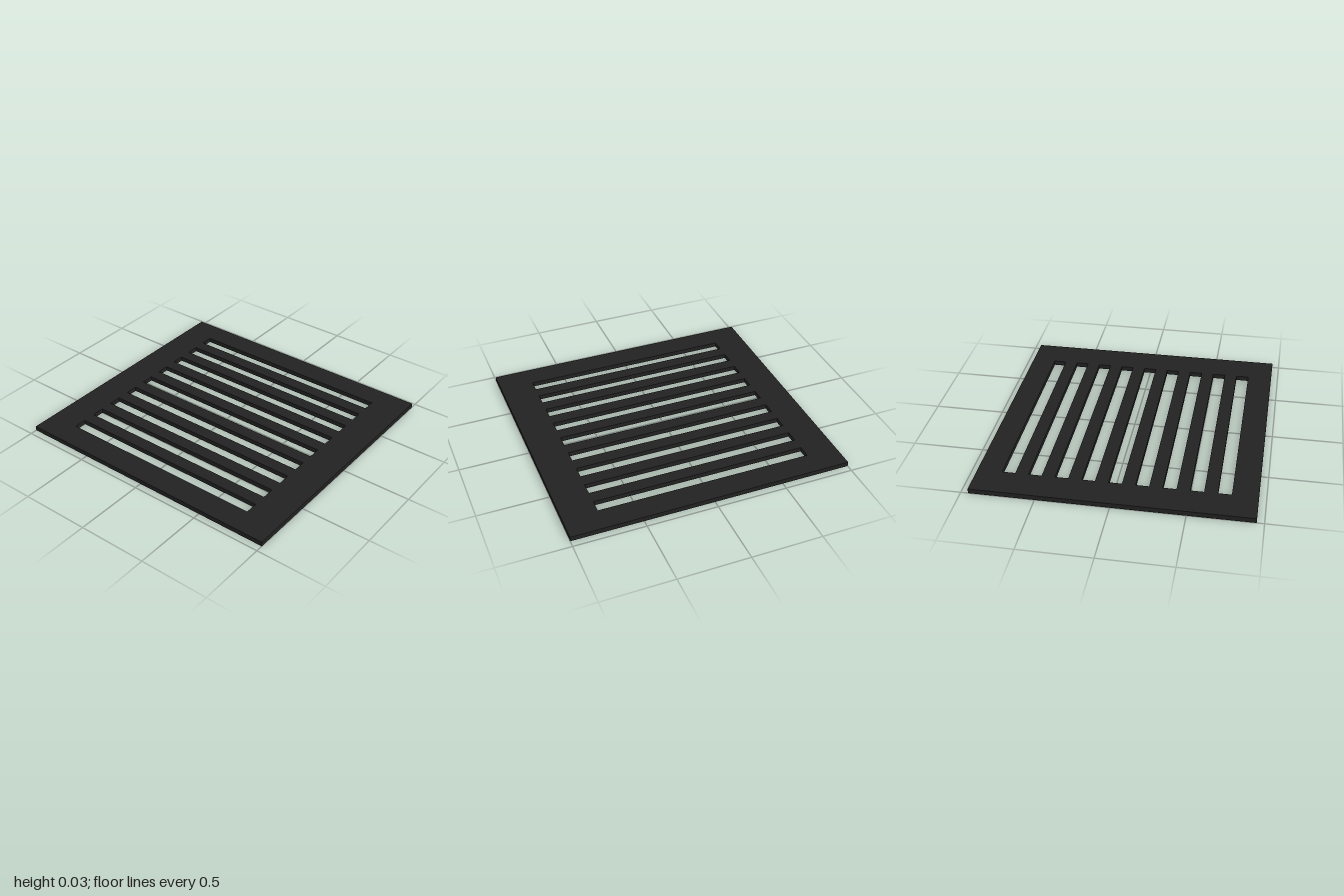
import * as THREE from 'three';

const WIDTH = 2, DEPTH = 1.9, THICKNESS = 0.034;
const SLOTS = 9, PITCH = 0.1825, SLOT_DEPTH = 0.091;
const SLOT_LEFT = -0.775, SLOT_RIGHT = 0.757, SLOT_CENTRE = -0.0025;

// Trace a rectangle on a shape or path
function rectangle(path, x0, y0, x1, y1) {
  path.moveTo(x0, y0);
  path.lineTo(x1, y0);
  path.lineTo(x1, y1);
  path.lineTo(x0, y1);
  path.closePath();
  return path;
}

export function createModel() {
  const group = new THREE.Group();
  group.name = 'ventGrille';

  // Flat plate outline
  const outline = rectangle(new THREE.Shape(), -WIDTH / 2, -DEPTH / 2, WIDTH / 2, DEPTH / 2);

  // Evenly spaced slots cut through the plate
  for (let i = 0; i < SLOTS; i++) {
    const z = SLOT_CENTRE + (i - (SLOTS - 1) / 2) * PITCH;
    outline.holes.push(
      rectangle(new THREE.Path(), SLOT_LEFT, z - SLOT_DEPTH / 2, SLOT_RIGHT, z + SLOT_DEPTH / 2)
    );
  }

  // Lay the plate flat, with its underside on the ground
  const geometry = new THREE.ExtrudeGeometry(outline, { depth: THICKNESS, bevelEnabled: false });
  geometry.rotateX(Math.PI / 2);
  geometry.translate(0, THICKNESS, 0);

  const plate = new THREE.Mesh(geometry, new THREE.MeshStandardMaterial({ color: 0x222222 }));
  plate.name = 'slottedPlate';
  group.add(plate);
  return group;
}
